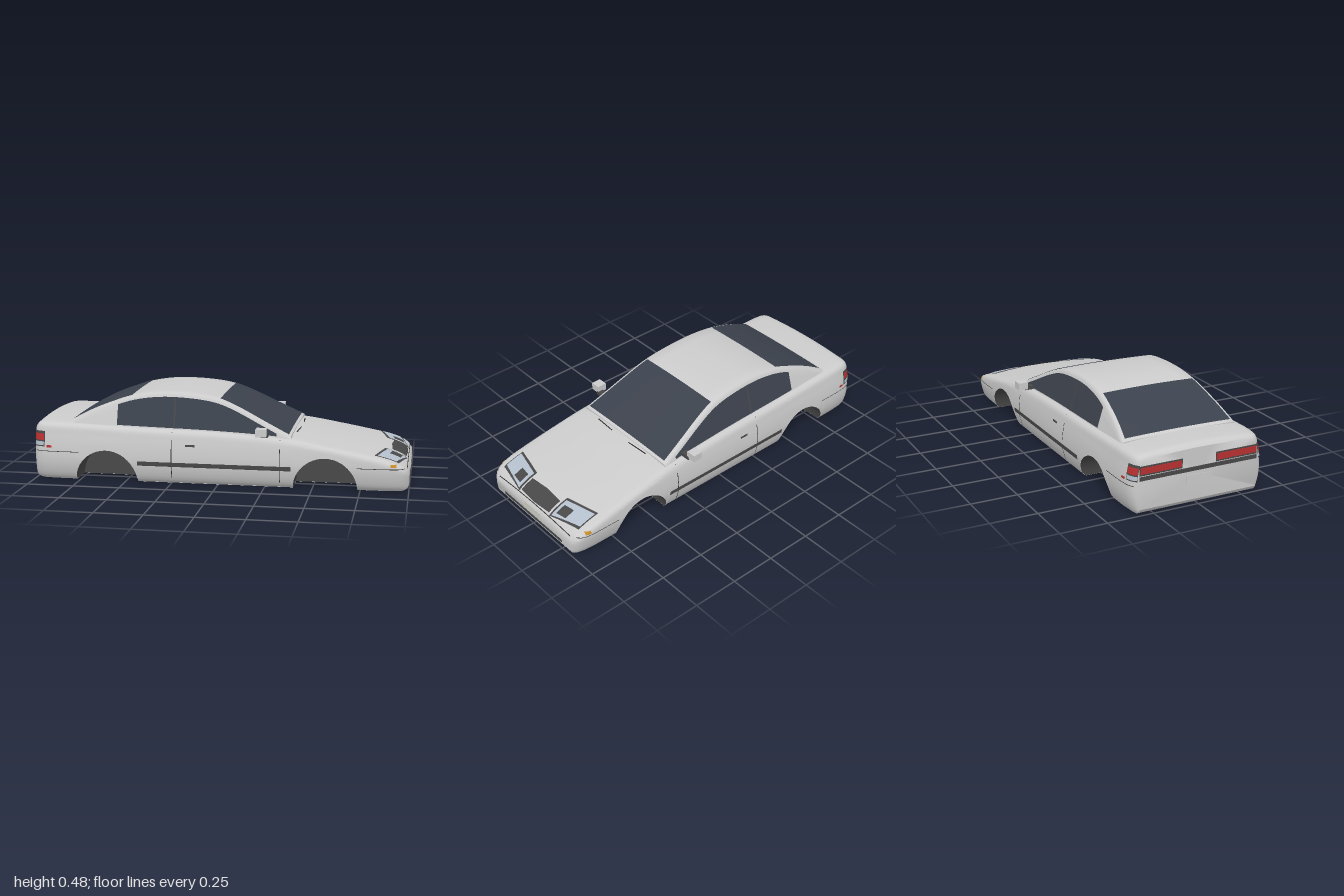
import * as THREE from 'three';
import { toCreasedNormals } from 'three/addons/utils/BufferGeometryUtils.js';
import { ParametricGeometry } from 'three/addons/geometries/ParametricGeometry.js';

const COLORS = { body: 0xcccccc, glass: 0x3c424d, dark: 0x484848, lamp: 0xb4c0cc, red: 0xb83030, amber: 0xc08a28, plate: 0xd0d0c8, line: 0x303030 };
const mats = {};
const mat = (name) => (mats[name] ??= new THREE.MeshStandardMaterial({ color: COLORS[name], side: THREE.DoubleSide }));

// Smooth curve through [position, value] pairs
function curve(pts) {
  const slope = (i) => {
    const a = pts[Math.max(i - 1, 0)], b = pts[Math.min(i + 1, pts.length - 1)];
    return (b[1] - a[1]) / (b[0] - a[0]);
  };
  return (x) => {
    x = THREE.MathUtils.clamp(x, pts[0][0], pts[pts.length - 1][0]);
    let i = 0;
    while (i < pts.length - 2 && x > pts[i + 1][0]) i++;
    const [x0, y0] = pts[i], [x1, y1] = pts[i + 1], h = x1 - x0, t = (x - x0) / h;
    const t2 = t * t, t3 = t2 * t;
    return y0 * (2 * t3 - 3 * t2 + 1) + y1 * (3 * t2 - 2 * t3) + h * (slope(i) * (t3 - 2 * t2 + t) + slope(i + 1) * (t3 - t2));
  };
}

// Lower body: shoulder height, underside, plan taper and side bulge
const shoulder = curve([[-1, .285], [-.985, .3], [-.95, .306], [-.8, .304], [-.5, .293], [0, .28], [.38, .257], [.6, .221],
  [.8, .184], [.87, .169], [.92, .154], [.96, .136], [.985, .118], [1, .098]]);
const base = curve([[-1, .03], [-.99, .014], [-.97, .003], [-.94, 0], [.94, 0], [.97, .003], [.99, .014], [1, .03]]);
const taper = curve([[-1, .9], [-.99, .935], [-.97, .965], [-.94, .985], [-.85, 1], [.85, 1], [.93, .985], [.97, .955], [.99, .91], [1, .87]]);
const bulge = curve([[0, .338], [.01, .35], [.03, .362], [.08, .376], [.12, .38], [.2, .373], [.25, .363], [.32, .352]]);
const ROUND = .03, CROWN = .014;
const sideZ = (x, y) => {
  const d = Math.max(0, ROUND - (shoulder(x) - y));
  return taper(x) * bulge(y) - ROUND + Math.sqrt(Math.max(0, ROUND * ROUND - d * d));
};
const topY = (x, z) => shoulder(x) + CROWN * (1 - (z / sideZ(x, shoulder(x))) ** 2);

// Wheel arches
const arches = [-.602, .567], R = .168, WELL = .2;
const archY = (x) => Math.max(base(x), ...arches.map((c) => Math.sqrt(Math.max(0, R * R - (x - c) ** 2))));
const archXs = (c) => Array.from({ length: 25 }, (_, i) => c - R * Math.cos(i / 24 * Math.PI));

// Cabin: roof line and leaning sides
const roof = curve([[-.81, .312], [-.7, .369], [-.6, .41], [-.48, .45], [-.36, .47], [-.25, .474], [-.1, .464], [0, .445], [.1, .406], [.25, .333], [.385, .268]]);
const cabinZ = (y) => .335 - (y - .27) * .31;
const roofHalf = (x) => cabinZ(roof(x)) - .01;
const roofY = (x, z) => roof(x) + .005 * (1 - (z / roofHalf(x)) ** 2);

// Skin a list of equal-length rings, optionally with end caps
function loft(rings, capped = false) {
  const pos = [], idx = [], n = rings[0].length;
  rings.forEach((r) => r.forEach((p) => pos.push(...p)));
  for (let i = 0; i < rings.length - 1; i++)
    for (let j = 0; j < n - 1; j++) {
      const a = i * n + j, b = a + n;
      idx.push(a, b, a + 1, b, b + 1, a + 1);
    }
  if (capped) for (const i of [0, rings.length - 1]) {
    const c = pos.length / 3, r = rings[i];
    pos.push(r[0][0], (r[0][1] + r[n >> 1][1]) / 2, 0);
    for (let j = 0; j < n; j++) {
      const a = i * n + j, b = i * n + (j + 1) % n;
      idx.push(...(i ? [c, b, a] : [c, a, b]));
    }
  }
  const g = new THREE.BufferGeometry();
  g.setAttribute('position', new THREE.Float32BufferAttribute(pos, 3));
  g.setIndex(idx);
  return toCreasedNormals(g, .7);
}

// Complete a ring from its +z half (bottom to top) by mirroring
const mirrorRing = (half) => [...half, ...half.slice(0, -1).reverse().map(([x, y, z]) => [x, y, -z])];
const range = (a, b, n) => Array.from({ length: n + 1 }, (_, i) => a + (b - a) * i / n);

export function createModel() {
  const car = new THREE.Group();
  car.name = 'coupe';
  const add = (name, geometry, color) => {
    const m = new THREE.Mesh(geometry, mat(color));
    m.name = name;
    car.add(m);
    return m;
  };
  const box = (name, color, sx, sy, sz, x, y, z) => add(name, new THREE.BoxGeometry(sx, sy, sz), color).position.set(x, y, z);
  const surface = (name, color, f, nu, nv) => add(name, new ParametricGeometry((u, v, t) => t.set(...f(u, v)), nu, nv), color);
  const lerp = THREE.MathUtils.lerp;
  // Thin panel following the body side, on both sides
  const sidePanel = (name, color, x0, x1, y0, y1, off = .002) => [1, -1].forEach((s) =>
    surface(name, color, (u, v) => {
      const x = lerp(x0, x1, u), y = lerp(y0, y1, v);
      return [x, y, s * (sideZ(x, y) + off)];
    }, 16, 4));
  // Thin panel following the bonnet, from four [x, z] corners
  const topPanel = (name, color, c, off = .002, sides = [1, -1]) => sides.forEach((s) =>
    surface(name, color, (u, v) => {
      const x = lerp(lerp(c[0][0], c[1][0], u), lerp(c[3][0], c[2][0], u), v);
      const z = lerp(lerp(c[0][1], c[1][1], u), lerp(c[3][1], c[2][1], u), v);
      return [x, topY(x, z) + off, s * z];
    }, 12, 12));

  // Body shell
  const xs = [...range(-.9, .9, 45), ...range(-1, -.91, 12), ...range(.91, 1, 16), ...arches.flatMap(archXs)].sort((a, b) => a - b);
  const rows = [0, .03, .07, .14, .22, .32, .44, .56, .68, .78, .86, .91, .95, .98, 1];
  add('bodyShell', loft(xs.map((x) => {
    const y0 = archY(x), y1 = shoulder(x), w = sideZ(x, y1);
    const half = rows.map((t) => [x, lerp(y0, y1, t), sideZ(x, lerp(y0, y1, t))]);
    for (const t of [.9, .75, .5, .25, 0]) half.push([x, topY(x, w * t), w * t]);
    return mirrorRing(half);
  }), true), 'body');

  // Floor: a centre strip plus side strips between the wheel wells
  const strip = (list, z0, z1) => loft(list.map((x) => [[x, base(x), z0(x)], [x, base(x), z1(x)]]));
  add('floor', strip(xs, () => -WELL, () => WELL), 'body');
  const cuts = [-1, ...arches.flatMap((c) => [c - R, c + R]), 1];
  for (const i of [0, 2, 4]) {
    const part = range(cuts[i], cuts[i + 1], 24);
    add('floorSide', strip(part, () => WELL, (x) => sideZ(x, base(x))), 'body');
    add('floorSide', strip(part, (x) => -sideZ(x, base(x)), () => -WELL), 'body');
  }

  // Wheel wells
  for (const c of arches) for (const s of [1, -1])
    add('wheelWell', loft(archXs(c).map((x) => {
      const y = archY(x);
      return [[x, 0, s * WELL], [x, y, s * WELL], [x, y, s * sideZ(x, y)]];
    })), 'dark');

  // Cabin
  add('cabin', loft(range(-.81, .385, 48).map((x) => {
    const r = roof(x), y0 = Math.min(shoulder(x), r) - .03, w = roofHalf(x);
    const half = [0, .35, .7, 1].map((t) => lerp(y0, r - .014, t)).map((y) => [x, y, cabinZ(y)]);
    half.push([x, r - .005, cabinZ(r) - .002]);
    for (const t of [1, .75, .5, .25, 0]) half.push([x, roofY(x, w * t), w * t]);
    return mirrorRing(half);
  }), true), 'body');

  // Windscreen and rear window
  for (const [name, x0, x1] of [['rearWindow', -.795, -.48], ['windscreen', 0, .372]])
    surface(name, 'glass', (u, v) => {
      const x = lerp(x0, x1, u), z = (2 * v - 1) * (roofHalf(x) - .008);
      return [x, roofY(x, z) + .003, z];
    }, 20, 12);

  // Side windows and the thin pillar between them
  const sideGlass = (name, color, x0, x1, off) => [1, -1].forEach((s) =>
    surface(name, color, (u, v) => {
      const x = lerp(x0, x1, u), low = shoulder(x) + .006, y = lerp(low, Math.max(low, roof(x) - .022), v);
      return [x, y, s * (cabinZ(y) + off)];
    }, 30, 4));
  sideGlass('sideWindow', 'glass', -.55, .31, .003);
  sideGlass('windowPillar', 'dark', -.243, -.235, .005);

  // Side trim, door seams, handles, crease lines and marker lamps
  sidePanel('sideTrim', 'dark', -.43, .39, .095, .118, .004);
  sidePanel('doorSeamRear', 'line', -.247, -.243, .03, .278);
  sidePanel('doorSeamFront', 'line', .328, .332, .03, .255);
  sidePanel('doorHandle', 'dark', -.17, -.12, .204, .215, .004);
  sidePanel('rearCrease', 'line', -.99, -.75, .153, .156);
  sidePanel('frontCrease', 'line', .73, .975, .121, .124);
  sidePanel('rearLampFrame', 'dark', -.999, -.94, .178, .26);
  sidePanel('rearLampSide', 'red', -.999, -.945, .212, .247, .004);
  sidePanel('rearLampLower', 'lamp', -.999, -.945, .184, .205, .004);
  sidePanel('rearMarker', 'red', -.93, -.9, .174, .186);
  sidePanel('frontMarker', 'amber', .905, .935, .132, .147, .004);

  // Headlamps, grille and wipers
  topPanel('headlampFrame', 'dark', [[.82, .328], [.867, .132], [.986, .13], [.945, .328]], .002);
  topPanel('headlamp', 'lamp', [[.835, .322], [.88, .142], [.98, .142], [.932, .322]], .004);
  topPanel('headlampInsert', 'dark', [[.895, .225], [.905, .16], [.96, .16], [.95, .225]], .006);
  topPanel('grille', 'dark', [[.905, .12], [.897, 0], [.985, 0], [.978, .12]], .004);
  topPanel('bumperSeam', 'line', [[.987, .31], [.987, 0], [.99, 0], [.99, .31]], .002);
  topPanel('wiper', 'line', [[.398, .2], [.408, .07], [.414, .07], [.405, .2]], .005);

  // Bumper intake and plates
  box('bumperIntake', 'dark', .006, .016, .5, .999, .048, 0);
  box('frontPlate', 'plate', .014, .042, .135, .996, .089, 0);
  box('rearPlate', 'body', .006, .06, .14, -.999, .13, 0);

  // Tail lamps
  box('tailBand', 'dark', .004, .022, .66, -.999, .19, 0);
  for (const s of [1, -1]) {
    box('tailLampFrame', 'dark', .004, .05, .235, -.999, .23, s * .212);
    box('tailLamp', 'red', .007, .034, .225, -.999, .23, s * .212);
    // Door mirrors
    box('mirrorArm', 'dark', .035, .02, .07, .25, .278, s * .35);
    box('mirror', 'body', .055, .04, .054, .238, .3, s * .403);
  }
  return car;
}
